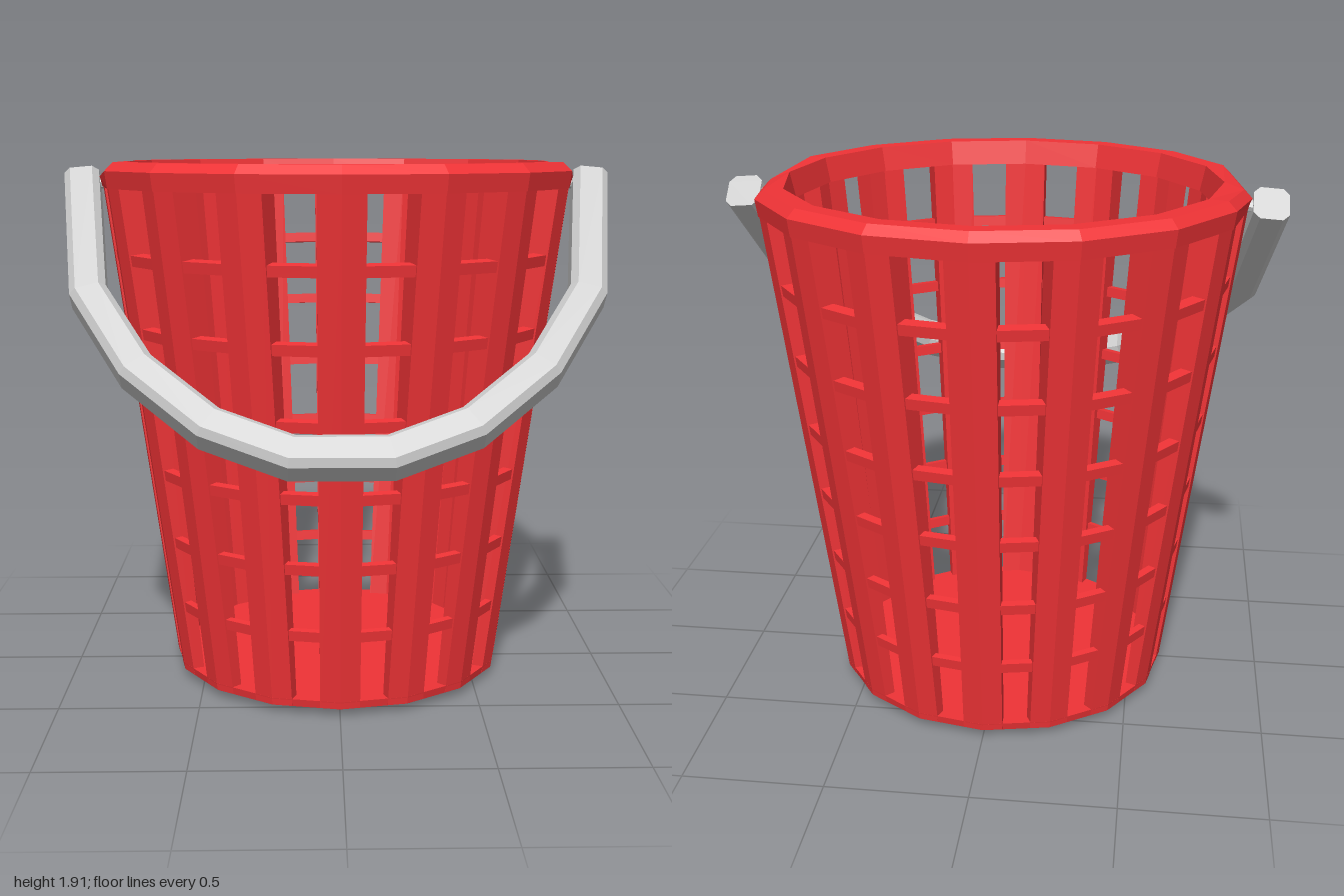
import * as THREE from 'three';

const SIDES = 16;
const STEP = (Math.PI * 2) / SIDES;
const SLOPE = Math.tan(STEP / 2);

// Wall radii at the polygon corners, and half the upright's width, by height
const outerR = (y) => 0.622 + (y - 0.03) * 0.132;
const innerR = (y) => 0.582 + (y - 0.03) * 0.1;
const halfW = (y) => 0.07 + (y - 0.03) * 0.005;

// Skin a row of matching rings and close both ends
function loft(rings) {
  const n = rings[0].length;
  const pos = [];
  const tri = (a, b, c) => pos.push(...a.toArray(), ...b.toArray(), ...c.toArray());
  for (let i = 0; i < rings.length - 1; i++) {
    for (let j = 0; j < n; j++) {
      const k = (j + 1) % n;
      const [a, b, c, d] = [rings[i][j], rings[i][k], rings[i + 1][k], rings[i + 1][j]];
      tri(a, b, c);
      tri(a, c, d);
    }
  }
  const first = rings[0];
  const last = rings[rings.length - 1];
  for (let j = 1; j < n - 1; j++) {
    tri(first[0], first[j + 1], first[j]);
    tri(last[0], last[j], last[j + 1]);
  }
  const geo = new THREE.BufferGeometry();
  geo.setAttribute('position', new THREE.Float32BufferAttribute(pos, 3));
  geo.computeVertexNormals();
  return geo;
}

function lathe(profile) {
  return new THREE.LatheGeometry(profile.map(([r, y]) => new THREE.Vector2(r, y)), SIDES);
}

// Rim whose outer corners dip slightly beside the handle ends
function rimGeometry() {
  const geo = lathe([
    [0.752, 1.818], [0.862, 1.818], [0.871, 1.878], [0.84, 1.908], [0.772, 1.908], [0.752, 1.818],
  ]);
  const p = geo.attributes.position;
  for (let i = 0; i < p.count; i++) {
    if (Math.abs(p.getX(i)) > 0.83 && p.getY(i) > 1.85) p.setY(i, p.getY(i) - 0.025);
  }
  return geo;
}

// Upright folded over a corner of the polygon
function uprightRing(y) {
  const h = halfW(y);
  const R = outerR(y);
  const r = innerR(y);
  return [[0, R], [h, R - h * SLOPE], [h, r - h * SLOPE], [0, r], [-h, r - h * SLOPE], [-h, R - h * SLOPE]]
    .map(([x, z]) => new THREE.Vector3(x, y, z));
}

// Bevelled square bar swept along an angular arc in a tilted plane
function handleGeometry() {
  const half = [[0.936, 0], [0.865, 0.56], [0.68, 0.88], [0.43, 1.11], [0.16, 1.225]];
  const path = [...half.map(([x, s]) => [-x, s]), ...half.slice().reverse()];
  const down = new THREE.Vector3(0, -0.7, 0.714).normalize();
  const points = path.map(([x, s]) => new THREE.Vector3(x, 1.843, -0.055).addScaledVector(down, s));
  const normal = new THREE.Vector3(1, 0, 0).cross(down).normalize();
  const w = 0.063;
  const b = 0.04;
  const section = [[w, -b], [w, b], [b, w], [-b, w], [-w, b], [-w, -b], [-b, -w], [b, -w]];
  const dir = (i) => points[i + 1].clone().sub(points[i]).normalize();
  const rings = points.map((p, i) => {
    const before = dir(Math.max(i - 1, 0));
    const after = dir(Math.min(i, points.length - 2));
    const t = before.clone().add(after).normalize();
    const across = normal.clone().cross(t).multiplyScalar(1 / t.dot(before));
    return section.map(([u, v]) => p.clone().addScaledVector(across, u).addScaledVector(normal, v));
  });
  return loft(rings);
}

export function createModel() {
  const model = new THREE.Group();
  model.name = 'basketBucket';
  const red = new THREE.MeshStandardMaterial({ color: 0xf03336, flatShading: true });
  const grey = new THREE.MeshStandardMaterial({ color: 0xcccccc, flatShading: true });

  const add = (parent, name, geo, mat) => {
    const mesh = new THREE.Mesh(geo, mat);
    mesh.name = name;
    parent.add(mesh);
    return mesh;
  };

  const basket = new THREE.Group();
  basket.name = 'basket';
  basket.position.z = -0.026;
  model.add(basket);

  // Solid base and broad flat-topped rim
  add(basket, 'base', lathe([[0, 0], [0.53, 0], [0.62, 0.03], [0.626, 0.058], [0.58, 0.058], [0, 0.058]]), red);
  add(basket, 'rim', rimGeometry(), red);

  // Slatted wall: uprights on the corners, rungs across the gaps
  const uprightGeo = loft([uprightRing(0.032), uprightRing(1.83)]);
  const rungHeights = [0.303, 0.552, 0.807, 1.06, 1.32, 1.577];
  const tilt = Math.atan(0.132);
  for (let i = 0; i < SIDES; i++) {
    add(basket, 'upright', uprightGeo, red).rotation.y = i * STEP;

    const bay = new THREE.Group();
    bay.name = 'rungs';
    bay.rotation.y = (i + 0.5) * STEP;
    for (const y of rungHeights) {
      const R = outerR(y);
      const depth = (R - innerR(y)) * 0.5;
      const width = 2 * R * Math.sin(STEP / 2) - 2 * halfW(y) + 0.02;
      const rung = add(bay, 'rung', new THREE.BoxGeometry(width, 0.038, depth), red);
      rung.position.set(0, y, R * Math.cos(STEP / 2) - depth / 2 - 0.006);
      rung.rotation.x = tilt;
    }
    basket.add(bay);
  }

  // Swinging handle, lowered to the front, with its pivot pins
  add(model, 'handle', handleGeometry(), grey);
  for (const side of [-1, 1]) {
    const pin = add(model, 'handlePin', new THREE.CylinderGeometry(0.022, 0.022, 0.07, 8), grey);
    pin.rotation.z = Math.PI / 2;
    pin.position.set(side * 0.87, 1.83, -0.04);
  }
  return model;
}
